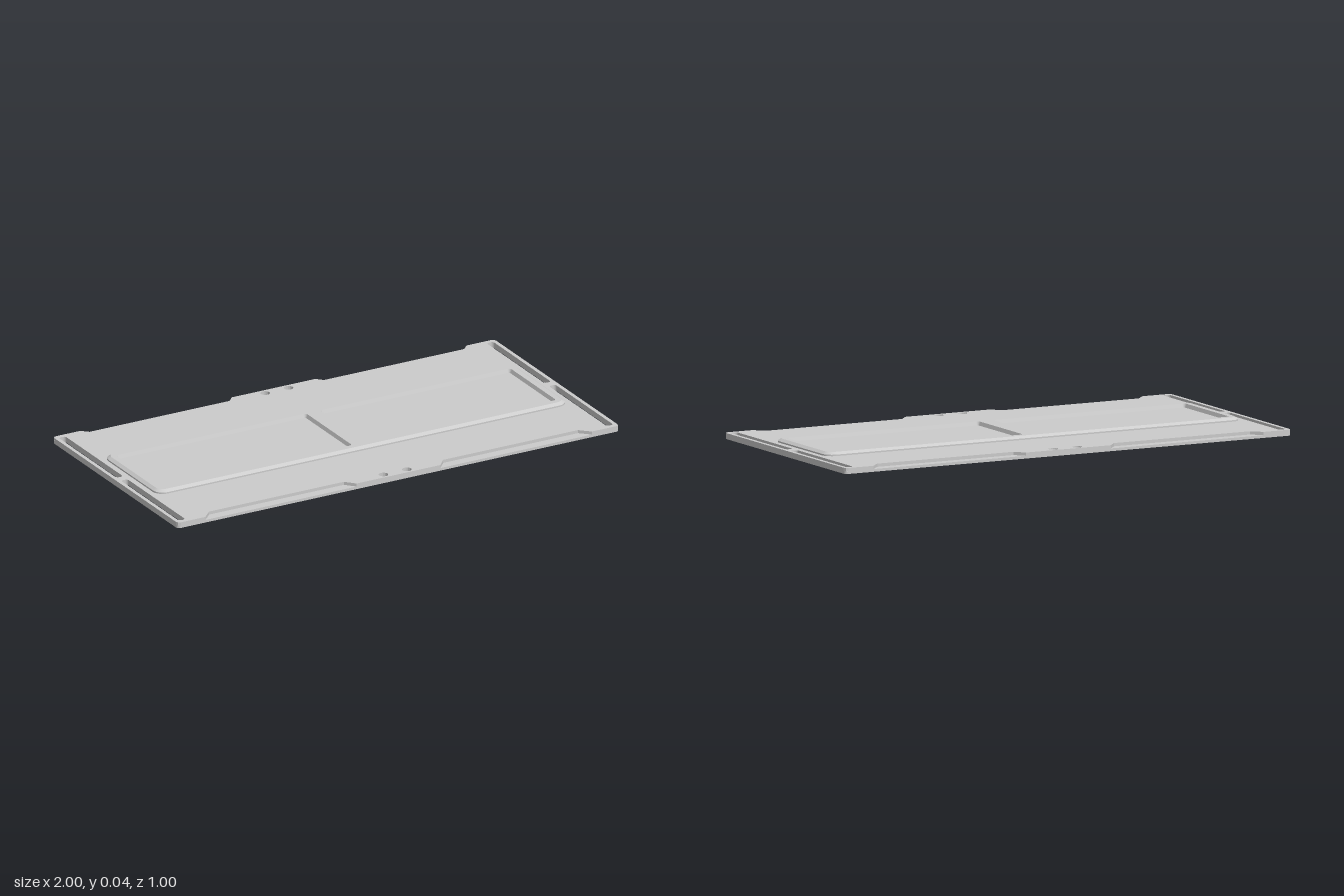
import * as THREE from 'three';

const material = new THREE.MeshStandardMaterial({ color: 0xcccccc, flatShading: true });
const PLATE_TOP = 0.024, NOTCH_FLOOR = 0.011, FRAME_TOP = 0.039;

// Rounded rectangle centred on (cx, cy) with half sizes hx, hy
function roundedRect(path, cx, cy, hx, hy, r) {
  path.absarc(cx + hx - r, cy + hy - r, r, 0, Math.PI / 2);
  path.absarc(cx - hx + r, cy + hy - r, r, Math.PI / 2, Math.PI);
  path.absarc(cx - hx + r, cy - hy + r, r, Math.PI, Math.PI * 1.5);
  path.absarc(cx + hx - r, cy - hy + r, r, Math.PI * 1.5, Math.PI * 2);
  path.closePath();
  return path;
}

function mesh(name, geometry) {
  const m = new THREE.Mesh(geometry, material);
  m.name = name;
  return m;
}

// Outline of the plate, with optional notches along both long edges
function plateOutline(notched) {
  if (!notched) return roundedRect(new THREE.Shape(), 0, 0, 1, 0.5, 0.015);
  const quarter = [[0.19, 0.5], [0.225, 0.46], [0.835, 0.46], [0.875, 0.5], [0.985, 0.5], [0.996, 0.496], [1, 0.485]];
  const flip = (sx, sy) => quarter.map(([x, y]) => new THREE.Vector2(x * sx, y * sy));
  return new THREE.Shape([
    ...flip(1, -1), ...flip(1, 1).reverse(),
    ...flip(-1, 1), ...flip(-1, -1).reverse(),
  ]);
}

// Flat slab with the side slots and round holes cut through
function plateLayer(name, notched, y, height) {
  const shape = plateOutline(notched);
  for (const sx of [-1, 1]) for (const sy of [-1, 1]) {
    shape.holes.push(roundedRect(new THREE.Path(), sx * 0.969, sy * 0.249, 0.015, 0.232, 0.012));
    shape.holes.push(new THREE.Path().absarc(sx * 0.053, sy * 0.473, 0.019, 0, Math.PI * 2));
  }
  const geometry = new THREE.ExtrudeGeometry(shape, { depth: height, bevelEnabled: false, curveSegments: 8 });
  geometry.rotateX(-Math.PI / 2).translate(0, y, 0);
  return mesh(name, geometry);
}

// Wall through rounded rectangles, each given as [inset, height]
function loftWall(cx, hx, hz, r, sections) {
  const rings = sections.map(([inset, y]) =>
    roundedRect(new THREE.Path(), cx, 0, hx - inset, hz - inset, Math.max(r - inset, 0.003))
      .getPoints(6).map(p => [p.x, y, -p.y]));
  const pos = [];
  for (let i = 0; i < rings.length - 1; i++) {
    const low = rings[i], high = rings[i + 1];
    for (let j = 0; j < low.length; j++) {
      const k = (j + 1) % low.length;
      pos.push(...low[j], ...low[k], ...high[k], ...low[j], ...high[k], ...high[j]);
    }
  }
  const geometry = new THREE.BufferGeometry();
  geometry.setAttribute('position', new THREE.Float32BufferAttribute(pos, 3));
  geometry.computeVertexNormals();
  return geometry;
}

export function createModel() {
  const group = new THREE.Group();
  group.name = 'panel';

  // Base plate: full lower layer and notched upper layer
  group.add(plateLayer('lowerPlate', false, 0, NOTCH_FLOOR));
  group.add(plateLayer('upperPlate', true, NOTCH_FLOOR, PLATE_TOP - NOTCH_FLOOR));

  // Raised frame: chamfered outer wall
  const frame = new THREE.Group();
  frame.name = 'raisedFrame';
  const hx = 0.93, hz = 0.221, r = 0.045, chamfer = 0.014;
  frame.add(mesh('frameOuterWall', loftWall(0, hx, hz, r,
    [[0, PLATE_TOP], [0, 0.03], [chamfer, FRAME_TOP]])));

  // Top rim with two pocket openings, and the pocket walls
  const rim = roundedRect(new THREE.Shape(), 0, 0, hx - chamfer, hz - chamfer, r - chamfer);
  for (const side of [-1, 1]) {
    const cx = side * 0.462, px = 0.431, pz = 0.184, pr = 0.013;
    rim.holes.push(roundedRect(new THREE.Path(), cx, 0, px, pz, pr));
    frame.add(mesh(side > 0 ? 'leftPocketWall' : 'rightPocketWall',
      loftWall(cx, px, pz, pr, [[0, FRAME_TOP], [0.006, PLATE_TOP]])));
  }
  const rimGeometry = new THREE.ShapeGeometry(rim, 6);
  rimGeometry.rotateX(-Math.PI / 2).translate(0, FRAME_TOP, 0);
  frame.add(mesh('frameRim', rimGeometry));
  group.add(frame);

  return group;
}
